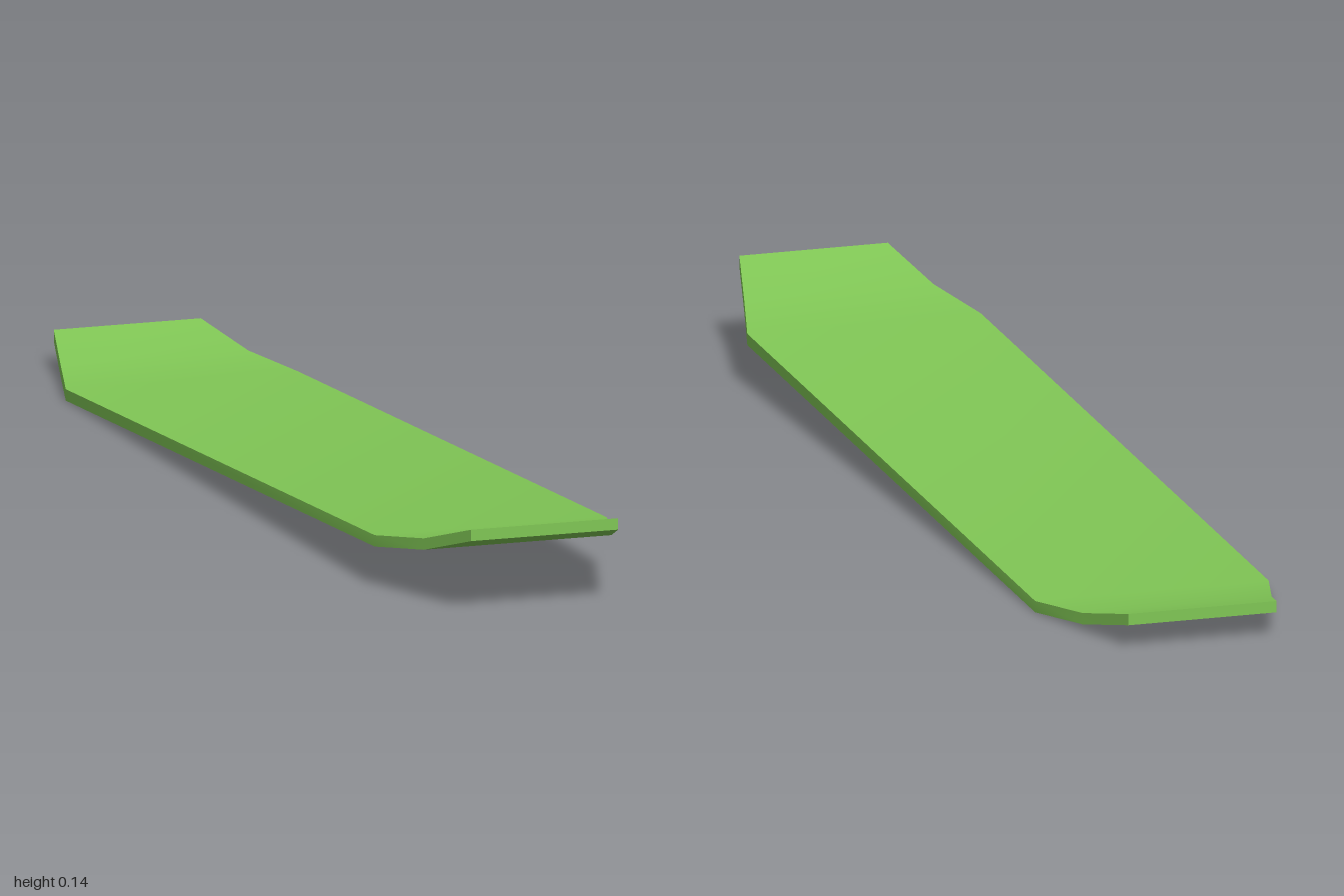
import * as THREE from 'three';
import { toCreasedNormals } from 'three/addons/utils/BufferGeometryUtils.js';

// Cross-sections from nose to tail: [z, half width, underside y]
const SECTIONS = [
  [1, 0.127, 0.125],
  [0.87, 0.162, 0.086],
  [0.74, 0.2, 0.067],
  [-0.74, 0.2, 0],
  [-0.87, 0.162, 0.01],
  [-1, 0.127, 0.039],
];
const THICKNESS = 0.019;

function createDeckGeometry() {
  const positions = [];
  const index = [];
  const quad = (a, b, c, d) => index.push(a, b, c, a, c, d);

  for (const [z, w, y] of SECTIONS) {
    const top = y + THICKNESS;
    positions.push(-w, top, z, w, top, z, w, y, z, -w, y, z);
  }

  // Top, sides and underside between neighbouring sections
  const last = (SECTIONS.length - 1) * 4;
  for (let s = 0; s < last; s += 4) {
    for (let k = 0; k < 4; k++) {
      const n = (k + 1) % 4;
      quad(s + k, s + n, s + 4 + n, s + 4 + k);
    }
  }

  // Nose and tail end faces
  quad(3, 2, 1, 0);
  quad(last, last + 1, last + 2, last + 3);

  const geometry = new THREE.BufferGeometry();
  geometry.setAttribute('position', new THREE.Float32BufferAttribute(positions, 3));
  geometry.setIndex(index);
  return toCreasedNormals(geometry, 0.6);
}

export function createModel() {
  const group = new THREE.Group();
  group.name = 'board';
  const material = new THREE.MeshStandardMaterial({ color: 0x80c655 });

  // Thin deck with tapered, upturned ends
  const deck = new THREE.Mesh(createDeckGeometry(), material);
  deck.name = 'deck';
  group.add(deck);
  return group;
}
